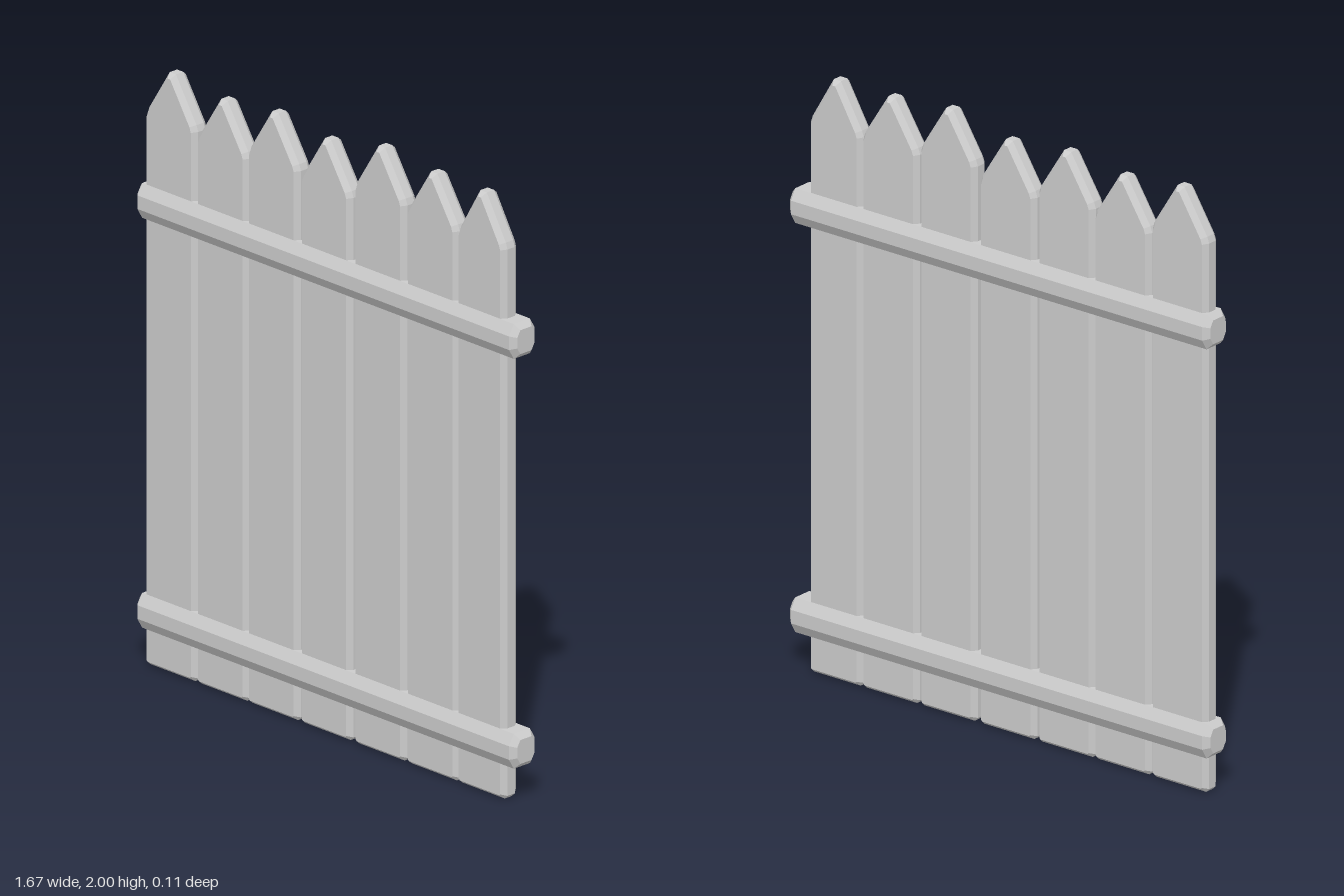
import * as THREE from 'three';

const material = new THREE.MeshStandardMaterial({ color: 0xcccccc, flatShading: true });

// Extrudes an outline with one chamfer; the outline is given already inset by the bevel size.
function chamfered(points, length, bevelSize, bevelThickness) {
  const shape = new THREE.Shape(points.map(([x, y]) => new THREE.Vector2(x, y)));
  const depth = length - 2 * bevelThickness;
  const geometry = new THREE.ExtrudeGeometry(shape, {
    depth, bevelEnabled: true, bevelSegments: 1, bevelSize, bevelThickness,
  });
  return geometry.translate(0, 0, -depth / 2);
}

// Pointed board standing on y = 0
function picketGeometry(width, top) {
  const b = 0.014;
  const w = width / 2 - b;
  const half = [
    [w - 0.004, b], [w, b + 0.004],
    [w, top - 0.165], [w - 0.006, top - 0.148],
    [0.006, top - b],
  ];
  const mirrored = half.map(([x, y]) => [-x, y]).reverse();
  return chamfered([...half, ...mirrored], 0.067, b, 0.018);
}

// Horizontal beam with an eight-sided section, running along x
function railGeometry() {
  const b = 0.018;
  const z = 0.055 - b, y = 0.0575 - b;
  const cz = 0.013, cy = 0.022;
  const section = [
    [z, -y + cy], [z, y - cy], [z - cz, y], [-z + cz, y],
    [-z, y - cy], [-z, -y + cy], [-z + cz, -y], [z - cz, -y],
  ];
  return chamfered(section, 1.67, b, 0.018).rotateY(Math.PI / 2);
}

export function createModel() {
  const fence = new THREE.Group();
  fence.name = 'picketFence';

  // Pickets: left edge, right edge, height of the tip
  const pickets = [
    [-0.812, -0.59, 1.98], [-0.586, -0.362, 1.957], [-0.362, -0.138, 1.98],
    [-0.13, 0.093, 1.957], [0.107, 0.33, 2.0], [0.336, 0.56, 1.98], [0.56, 0.77, 1.98],
  ];
  pickets.forEach(([x0, x1, top], i) => {
    const picket = new THREE.Mesh(picketGeometry(x1 - x0, top), material);
    picket.name = `picket${i + 1}`;
    picket.position.x = (x0 + x1) / 2;
    fence.add(picket);
  });

  // Rails wrapping both faces of the pickets
  const rail = railGeometry();
  for (const [name, y] of [['lowerRail', 0.178], ['upperRail', 1.532]]) {
    const mesh = new THREE.Mesh(rail, material);
    mesh.name = name;
    mesh.position.y = y;
    fence.add(mesh);
  }
  return fence;
}
